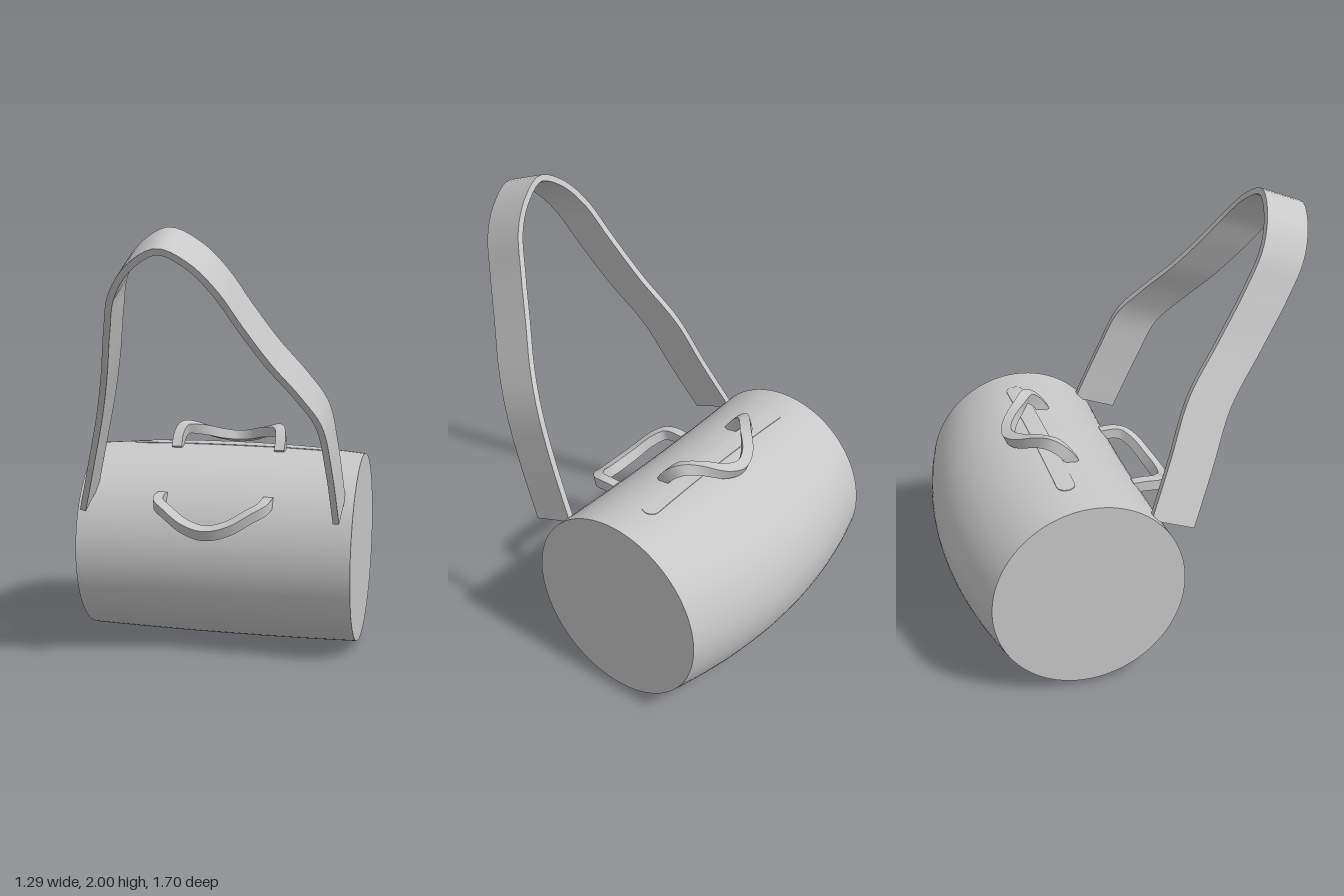
import * as THREE from 'three';
import { toCreasedNormals } from 'three/addons/utils/BufferGeometryUtils.js';

const V = (x, y, z) => new THREE.Vector3(x, y, z);

// Closed solid through a list of equal-length rings, with fan caps
function loft(rings) {
  const n = rings[0].length, pos = [], idx = [];
  rings.forEach(r => r.forEach(p => pos.push(p.x, p.y, p.z)));
  for (let i = 0; i < rings.length - 1; i++) {
    for (let j = 0; j < n; j++) {
      const a = i * n + j, b = i * n + (j + 1) % n;
      idx.push(a, b, b + n, a, b + n, a + n);
    }
  }
  const last = (rings.length - 1) * n;
  for (let j = 1; j < n - 1; j++) {
    idx.push(0, j + 1, j, last, last + j, last + j + 1);
  }
  const g = new THREE.BufferGeometry();
  g.setAttribute('position', new THREE.Float32BufferAttribute(pos, 3));
  g.setIndex(idx);
  return toCreasedNormals(g, 0.7);
}

// Rectangular band along a path; widthAt(p) is the width vector,
// w and t are the ranges covered across the width and the thickness
function band(points, widthAt, [w0, w1], [t0, t1], steps) {
  const curve = new THREE.CatmullRomCurve3(points, false, 'centripetal');
  const rings = [];
  for (let i = 0; i <= steps; i++) {
    const p = curve.getPointAt(i / steps), T = curve.getTangentAt(i / steps);
    const W = widthAt(p), O = T.clone().cross(W).normalize();
    rings.push([[w0, t0], [w1, t0], [w1, t1], [w0, t1]].map(([w, t]) =>
      p.clone().addScaledVector(W, w).addScaledVector(O, t)));
  }
  return loft(rings);
}

// Half a handle path (left end to middle) mirrored into a whole one
function mirrored(half) {
  const right = half.slice(0, -1).reverse().map(p => V(-p.x, p.y, p.z));
  return [...half, ...right];
}

const LENGTH = 0.645;

// Elliptical cross-section of the barrel at x, bulging towards the back
function section(x) {
  const s = (x / LENGTH) ** 2;
  return {
    cy: 0.475 + 0.003 * s, ry: 0.47 - 0.022 * s,
    cz: -0.3775 + 0.055 * s, rz: 0.4725 - 0.04 * s,
  };
}

export function createModel() {
  const group = new THREE.Group();
  const fabric = new THREE.MeshStandardMaterial({ color: 0xc8c8c8 });
  fabric.name = 'greyFabric';
  const add = (name, geometry) => {
    const mesh = new THREE.Mesh(geometry, fabric);
    mesh.name = name;
    group.add(mesh);
  };

  // Barrel body
  const rings = [];
  for (let i = 0; i <= 32; i++) {
    const x = LENGTH * (i / 16 - 1), e = section(x), ring = [];
    for (let j = 0; j < 80; j++) {
      const a = j / 80 * Math.PI * 2;
      ring.push(V(x, e.cy + e.ry * Math.cos(a), e.cz + e.rz * Math.sin(a)));
    }
    rings.push(ring);
  }
  add('body', loft(rings));

  // Zip panel: thin rounded strip lying on the top of the body
  const strip = [], half = 0.49, r = 0.04;
  for (let i = 0; i <= 60; i++) {
    const x = -half * Math.cos(i / 60 * Math.PI);
    const d = Math.max(0, Math.abs(x) - (half - r));
    const h = Math.max(0.001, Math.sqrt(Math.max(0, r * r - d * d)));
    const e = section(x);
    const at = (z, lift) =>
      V(x, e.cy + e.ry * Math.sqrt(1 - ((z - e.cz) / e.rz) ** 2) + lift, z);
    const z = -0.37;
    strip.push([at(z - h, -0.002), at(z - h, 0.003), at(z, 0.003),
      at(z + h, 0.003), at(z + h, -0.002), at(z, -0.002)]);
  }
  add('zipPanel', loft(strip));

  // Shoulder strap, given by its front outer edge
  const strapPath = [
    V(-0.6, 0.705, 0.163), V(-0.52, 0.94, 0.272), V(-0.44, 1.185, 0.38),
    V(-0.365, 1.39, 0.535), V(-0.305, 1.59, 0.675), V(-0.255, 1.74, 0.765),
    V(-0.16, 1.86, 0.82), V(-0.03, 1.925, 0.848), V(0.09, 1.87, 0.825),
    V(0.19, 1.765, 0.78), V(0.28, 1.61, 0.69), V(0.37, 1.46, 0.59),
    V(0.475, 1.31, 0.475), V(0.55, 1.17, 0.37), V(0.58, 0.97, 0.28),
    V(0.6, 0.705, 0.163),
  ];
  const strapWidth = V(0, 0.078, -0.195);
  add('shoulderStrap', band(strapPath, () => strapWidth, [0, 1], [-0.028, 0], 90));

  // Front handle, hanging forward
  const frontPath = mirrored([
    V(-0.25, 0.746, -0.005), V(-0.25, 0.745, 0.06), V(-0.24, 0.735, 0.105),
    V(-0.19, 0.71, 0.145), V(-0.1, 0.66, 0.185), V(0, 0.638, 0.203),
  ]);
  add('frontHandle', band(frontPath,
    p => V(0, 0.049, 0.02 * THREE.MathUtils.clamp(p.z / 0.2, 0, 1)),
    [-0.5, 0.5], [-0.023, 0.023], 60));

  // Back handle, arching over the top and leaning backward
  const backPath = mirrored([
    V(-0.25, 0.925, -0.28), V(-0.25, 0.98, -0.32), V(-0.232, 1.015, -0.365),
    V(-0.165, 1.003, -0.42), V(-0.08, 0.97, -0.485), V(0, 0.957, -0.508),
  ]);
  add('backHandle', band(backPath, p => {
    const a = THREE.MathUtils.mapLinear(p.z, -0.28, -0.508, 0.95, -0.4);
    return V(0, Math.cos(a), Math.sin(a)).multiplyScalar(0.045 + 0.008 * Math.abs(p.x) / 0.25);
  }, [-0.5, 0.5], [-0.024, 0.024], 60));

  return group;
}
